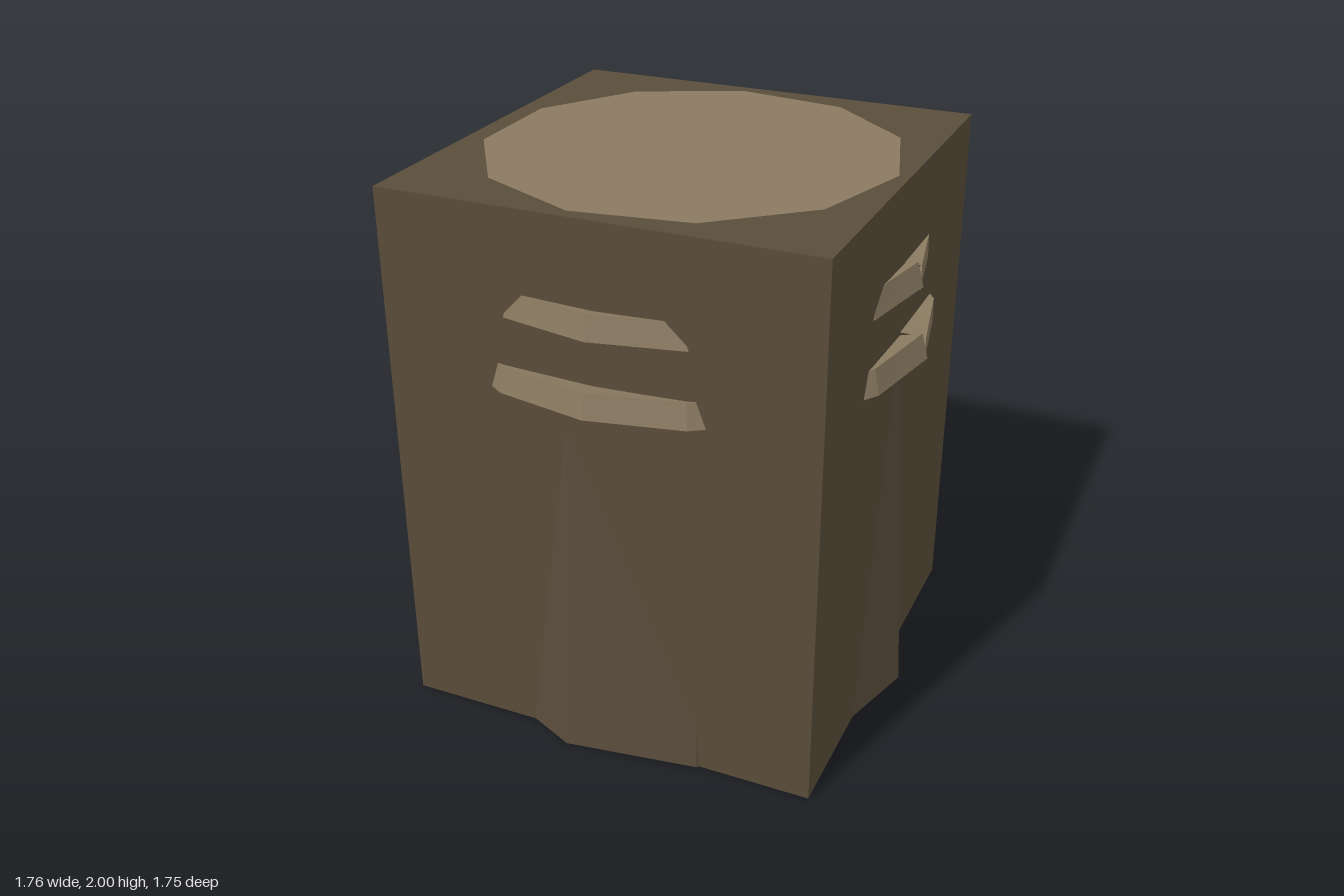
import * as THREE from 'three';

const blockBrown = new THREE.MeshStandardMaterial({ color: 0x5a4d3a, flatShading: true });
blockBrown.name = 'blockBrown';
const flareBrown = new THREE.MeshStandardMaterial({ color: 0x594c3c, flatShading: true });
flareBrown.name = 'flareBrown';
const paleTan = new THREE.MeshStandardMaterial({ color: 0x8a7a61, flatShading: true, side: THREE.DoubleSide });
paleTan.name = 'paleTan';

const SIDES = 11;

function part(group, name, geometry, material, x = 0, y = 0, z = 0) {
  const mesh = new THREE.Mesh(geometry, material);
  mesh.name = name;
  mesh.position.set(x, y, z);
  group.add(mesh);
  return mesh;
}

// Square-section hoop whose section slowly twists, leaving a small step at the +x seam.
function twistedHoop(radius, half, twist, segments = 16) {
  const s = half * Math.SQRT2;
  const corner = (i, k) => {
    const a = (i / segments) * Math.PI * 2;
    const p = Math.PI / 4 + (k * Math.PI) / 2 + (twist * i) / segments;
    const r = radius + s * Math.cos(p);
    return [r * Math.cos(a), s * Math.sin(p), -r * Math.sin(a)];
  };
  const positions = [];
  for (let i = 0; i < segments; i++) {
    for (let k = 0; k < 4; k++) {
      const a = corner(i, k), b = corner(i + 1, k);
      const c = corner(i + 1, k + 1), d = corner(i, k + 1);
      positions.push(...a, ...b, ...c, ...a, ...c, ...d);
    }
  }
  const geometry = new THREE.BufferGeometry();
  geometry.setAttribute('position', new THREE.Float32BufferAttribute(positions, 3));
  geometry.computeVertexNormals();
  return geometry;
}

export function createModel() {
  const model = new THREE.Group();
  model.name = 'bandedBlock';

  // Square block
  part(model, 'block', new THREE.BoxGeometry(1.563, 2, 1.563), blockBrown, -0.003, 1, -0.003);

  // Tapered trunk that breaks through the block faces near the ground
  part(model, 'flaredTrunk',
    new THREE.CylinderGeometry(0.74, 0.865, 2, SIDES, 1, false, Math.PI / 2), flareBrown, 0, 1, 0);

  // Pale face on top of the trunk
  const top = new THREE.CircleGeometry(0.74, SIDES).rotateX(-Math.PI / 2);
  part(model, 'topFace', top, paleTan, 0, 2.001, 0);

  // Two hoops showing through the middle of each face
  const twist = THREE.MathUtils.degToRad(15);
  part(model, 'lowerHoop', twistedHoop(0.825, 0.046, twist), paleTan, 0, 1.398, 0);
  part(model, 'upperHoop', twistedHoop(0.793, 0.045, twist), paleTan, 0, 1.657, 0);

  return model;
}
